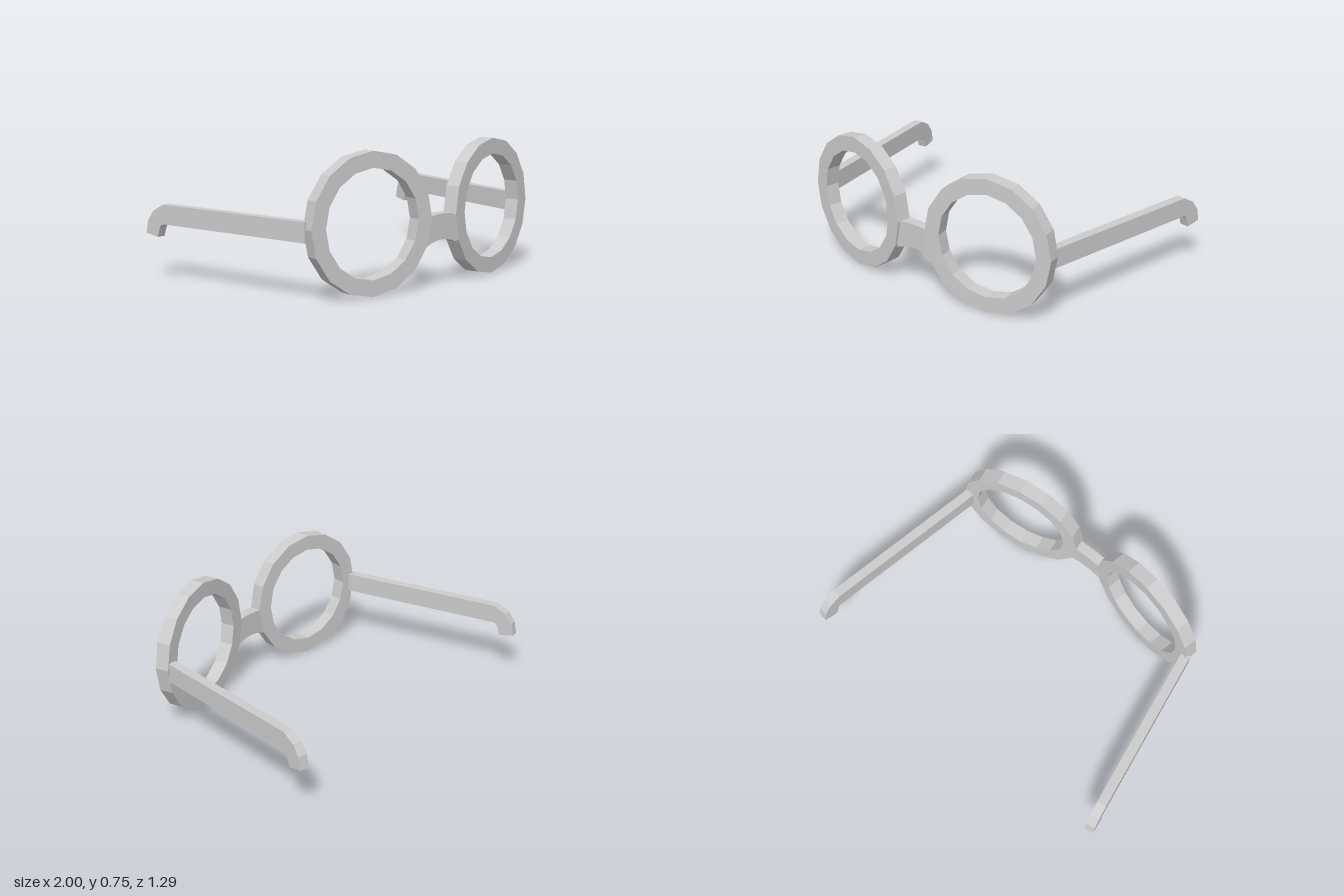
import * as THREE from 'three';

const material = new THREE.MeshStandardMaterial({ color: 0xcccccc, flatShading: true });
const TILT = THREE.MathUtils.degToRad(10);

// Corner points of a regular polygon with one corner straight up
function polygon(radius, sides) {
  return Array.from({ length: sides }, (_, i) => {
    const a = Math.PI / 2 + (i / sides) * Math.PI * 2;
    return new THREE.Vector2(Math.cos(a) * radius, Math.sin(a) * radius);
  });
}

// Extrudes a shape, centred on its own thickness
function slab(shape, depth, name) {
  const geometry = new THREE.ExtrudeGeometry(shape, { depth, bevelEnabled: false, curveSegments: 6 });
  geometry.translate(0, 0, -depth / 2);
  const mesh = new THREE.Mesh(geometry, material);
  mesh.name = name;
  return mesh;
}

export function createModel() {
  const group = new THREE.Group();
  group.name = 'glasses';

  // Faceted rim with a round opening
  const rimShape = new THREE.Shape(polygon(0.377, 16));
  rimShape.holes.push(new THREE.Path(polygon(0.29, 16)));

  // Temple arm profile: length from the hinge, then height
  const armShape = new THREE.Shape([
    [0, 0.308], [0.97, 0.308], [0.988, 0.303], [1.0, 0.285], [1.015, 0.235],
    [1.1, 0.25], [1.086, 0.32], [1.046, 0.375], [0.975, 0.415], [0, 0.415],
  ].map(([s, y]) => new THREE.Vector2(s, y)));

  for (const side of [1, -1]) {
    const label = side > 0 ? 'left' : 'right';

    const rim = slab(rimShape, 0.08, label + 'Rim');
    rim.scale.x = 0.982;
    rim.position.set(0.01 + side * 0.45, 0.377, 0.537);
    rim.rotation.y = side * TILT;
    group.add(rim);

    const arm = slab(armShape, 0.053, label + 'Arm');
    arm.geometry.rotateY(Math.PI / 2);
    arm.position.set(side > 0 ? 0.779 : -0.783, 0, side > 0 ? 0.44 : 0.453);
    arm.rotation.y = -side * TILT;
    group.add(arm);
  }

  // Arched bridge, its ends sunk into the rims
  const bridgeShape = new THREE.Shape();
  bridgeShape.moveTo(-0.115, 0.222);
  bridgeShape.quadraticCurveTo(-0.06, 0.25, 0, 0.25);
  bridgeShape.quadraticCurveTo(0.06, 0.25, 0.115, 0.222);
  bridgeShape.lineTo(0.115, 0.377);
  bridgeShape.quadraticCurveTo(0, 0.4, -0.115, 0.377);
  const bridge = slab(bridgeShape, 0.06, 'bridge');
  bridge.position.set(0.01, 0, 0.594);
  group.add(bridge);

  return group;
}
